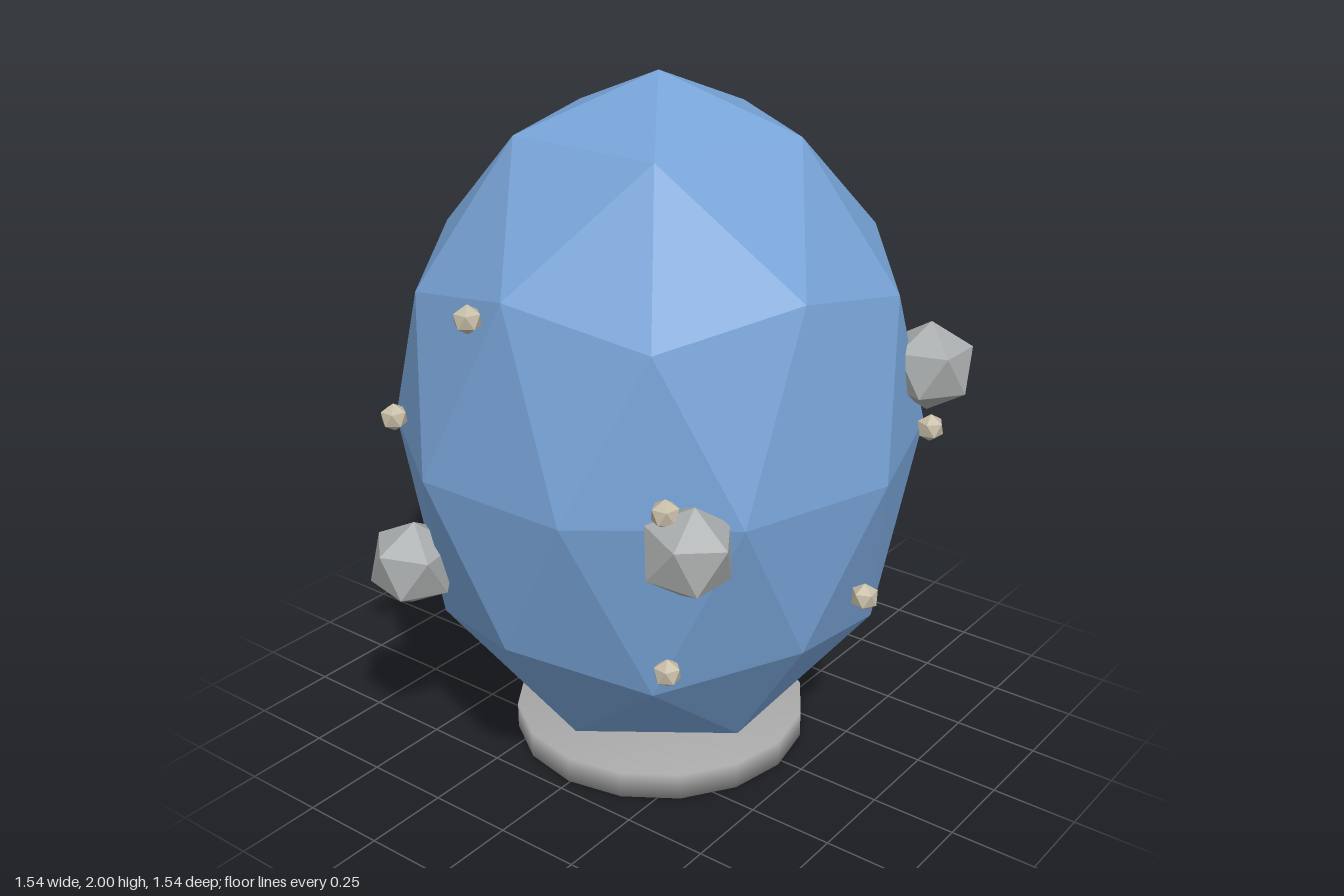
import * as THREE from 'three';
import { mergeVertices } from 'three/addons/utils/BufferGeometryUtils.js';

const mat = (name, color) => new THREE.MeshStandardMaterial({ name, color });

// Faceted icosphere with a corner at the top and its first ring starting at +x
function facetedSphere(radius, detail) {
  const g = new THREE.IcosahedronGeometry(radius, detail);
  g.rotateX(-Math.atan2((1 + Math.sqrt(5)) / 2, 1));
  g.rotateY(Math.PI / 2);
  return g;
}

export function createModel() {
  const group = new THREE.Group();
  const blue = mat('blue shell', 0x77a3d6);
  const grey = mat('grey stone', 0xa9acac);
  const beige = mat('pale pebble', 0xc6bda6);
  const baseGrey = mat('base grey', 0xa8a8a8);

  const add = (name, geometry, material, x, y, z) => {
    const mesh = new THREE.Mesh(geometry, material);
    mesh.name = name;
    mesh.position.set(x, y, z);
    group.add(mesh);
    return mesh;
  };

  // Egg-shaped body with flat facets
  const egg = facetedSphere(1, 1).scale(0.757, 1, 0.757);
  egg.computeVertexNormals();
  add('eggBody', egg, blue, -0.022, 1, -0.008);

  // Round base, shaded smoothly over its rim
  let disc = new THREE.CylinderGeometry(0.438, 0.438, 0.08, 16);
  disc.deleteAttribute('normal');
  disc.deleteAttribute('uv');
  disc = mergeVertices(disc);
  disc.computeVertexNormals();
  add('base', disc, baseGrey, -0.022, 0.04, -0.005);

  // Large stones stuck to the shell: x, y, z, turn, tilt
  const stone = facetedSphere(0.13, 0);
  [
    [0.33, 1.21, 0.66, 0.3, 0],
    [-0.585, 0.965, 0.515, 0.9, 0.15],
    [-0.66, 0.68, -0.385, 0.5, 0.1],
    [0.475, 0.235, 0, 0.2, 0.3],
    [0.175, 0.48, -0.645, 1.1, 0.1],
  ].forEach(([x, y, z, turn, tilt], i) => {
    add('stone' + (i + 1), stone, grey, x, y, z).rotation.set(tilt, turn, 0);
  });

  // Small pebbles scattered over the shell
  const pebble = facetedSphere(0.04, 0);
  [
    [-0.7, 1.475, -0.09],
    [0.48, 1.66, -0.3],
    [-0.62, 1.07, 0.47],
    [0.285, 1.05, 0.7],
    [0.73, 0.84, -0.09],
    [0.655, 0.63, -0.215],
    [-0.065, 0.68, 0.72],
    [-0.545, 0.565, 0.42],
    [0.355, 0.85, -0.67],
    [-0.625, 1.09, -0.46],
  ].forEach(([x, y, z], i) => {
    add('pebble' + (i + 1), pebble, beige, x, y, z).rotation.y = i * 0.7;
  });

  return group;
}
